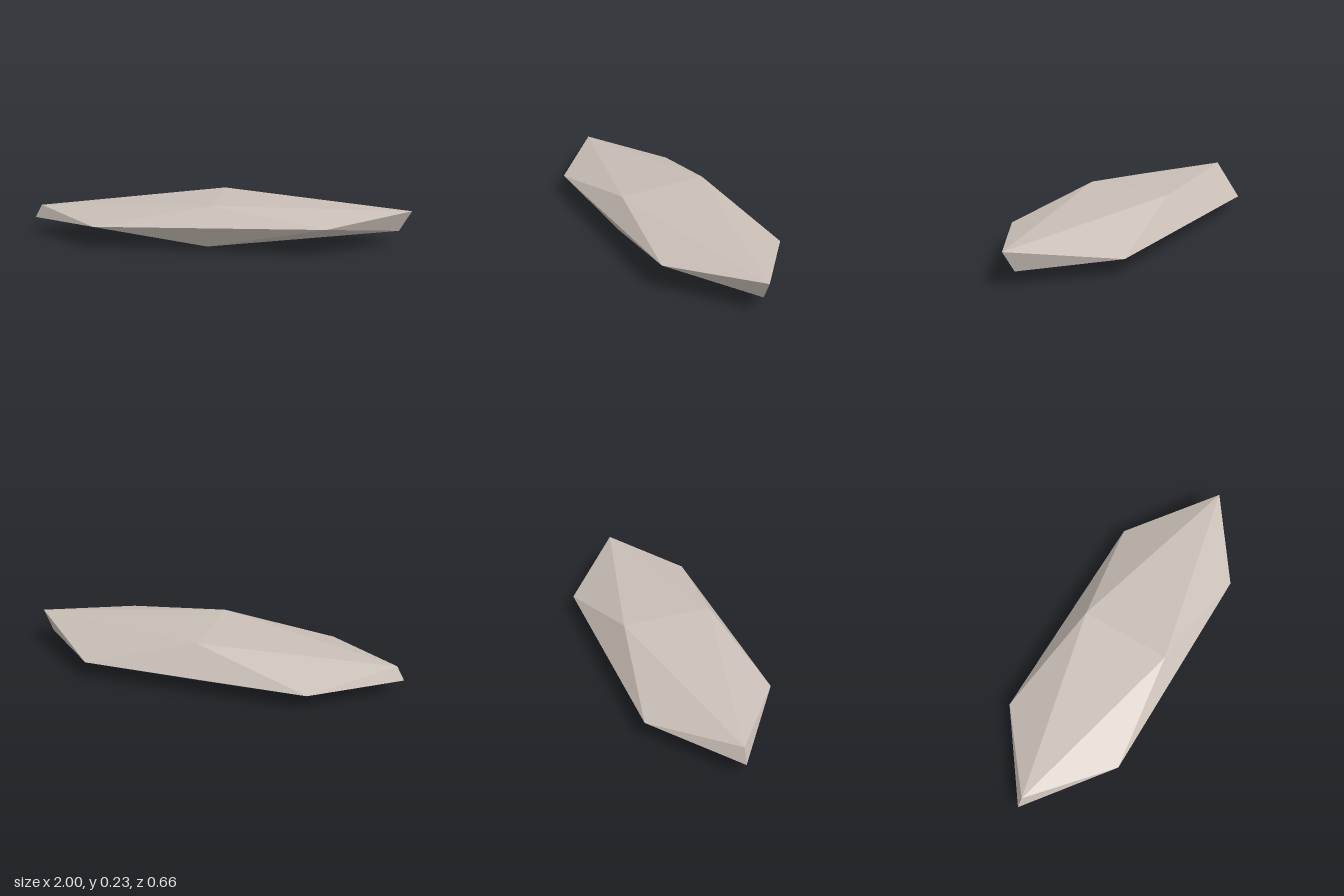
import * as THREE from 'three';
import { ConvexGeometry } from 'three/addons/geometries/ConvexGeometry.js';

export function createModel() {
  const group = new THREE.Group();
  group.name = 'flatStone';

  const stone = new THREE.MeshStandardMaterial({ color: 0xc8beb6, flatShading: true });
  stone.name = 'pale stone';

  // Twelve corners of a flattened, slightly uneven twenty-sided stone
  const corners = [
    // upper ridge, front and back
    [0.01, 0.225, 0.25], [0.01, 0.23, -0.222],
    // underside ridge, front and back
    [-0.01, 0.018, 0.257], [0.01, 0, -0.175],
    // front and back rim
    [0.58, 0.143, 0.332], [-0.58, 0.115, 0.325],
    [0.58, 0.09, -0.332], [-0.58, 0.086, -0.33],
    // short upright edges at the two tips
    [1, 0.184, 0.03], [0.94, 0.076, 0.014],
    [-0.96, 0.148, 0], [-1, 0.078, -0.005],
  ].map((p) => new THREE.Vector3(...p));

  const body = new THREE.Mesh(new ConvexGeometry(corners), stone);
  body.name = 'stoneBody';
  group.add(body);
  return group;
}
